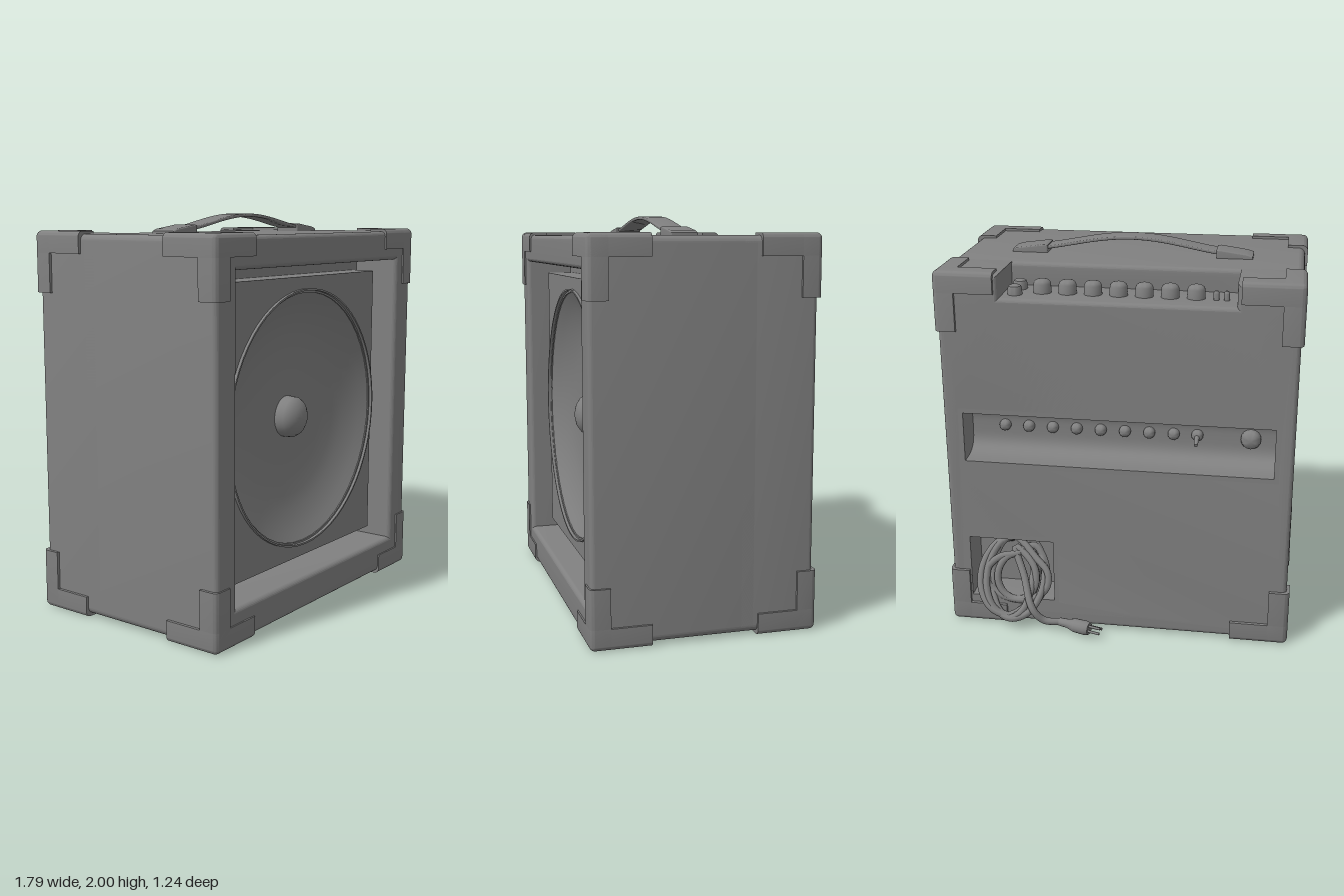
import * as THREE from 'three';
import { toCreasedNormals } from 'three/addons/utils/BufferGeometryUtils.js';

const V = (x, y, z) => new THREE.Vector3(x, y, z);
const P = (x, y) => new THREE.Vector2(x, y);

export function createModel() {
  const model = new THREE.Group();
  const mat = new THREE.MeshStandardMaterial({ color: 0x808080 });
  const matDouble = new THREE.MeshStandardMaterial({ color: 0x808080, side: THREE.DoubleSide });

  const add = (name, geo, x = 0, y = 0, z = 0, parent = model, m = mat) => {
    const mesh = new THREE.Mesh(geo, m);
    mesh.name = name;
    mesh.position.set(x, y, z);
    parent.add(mesh);
    return mesh;
  };
  const group = (name) => {
    const g = new THREE.Group();
    g.name = name;
    model.add(g);
    return g;
  };
  // rectangle outline or hole
  const rect = (x0, x1, y0, y1, Type = THREE.Shape) =>
    new Type([P(x0, y0), P(x1, y0), P(x1, y1), P(x0, y1)]);
  // extruded slab between two z values, with optional rounded edges
  const slab = (shape, z0, z1, b = 0) => toCreasedNormals(new THREE.ExtrudeGeometry(shape, {
    depth: z1 - z0 - 2 * b, bevelEnabled: b > 0, bevelSize: b, bevelThickness: b,
    bevelOffset: -b, bevelSegments: 6, curveSegments: 24,
  }).translate(0, 0, z0 + b), 0.2);
  // turned part: profile of [radius, height] pairs
  const turned = (pts, seg = 24) =>
    toCreasedNormals(new THREE.LatheGeometry(pts.map(([r, h]) => P(r, h)), seg), 0.7);

  // cabinet outline with rounded corners, optionally with the control notch in the top
  const W = 0.88, Y0 = 0.015, Y1 = 1.905, R = 0.035, panelY = 1.79;
  const outline = (notch) => {
    const s = new THREE.Shape();
    s.moveTo(-W + R, Y0);
    s.lineTo(W - R, Y0);
    s.absarc(W - R, Y0 + R, R, -Math.PI / 2, 0);
    s.lineTo(W, Y1 - R);
    s.absarc(W - R, Y1 - R, R, 0, Math.PI / 2);
    if (notch) [[0.57, Y1], [0.57, panelY], [-0.575, panelY], [-0.575, Y1]].forEach((p) => s.lineTo(...p));
    s.lineTo(-W + R, Y1);
    s.absarc(-W + R, Y1 - R, R, Math.PI / 2, Math.PI);
    s.lineTo(-W, Y0 + R);
    s.absarc(-W + R, Y0 + R, R, Math.PI, Math.PI * 1.5);
    return s;
  };
  const rearHoles = () => [
    rect(-0.785, 0.78, 0.93, 1.19, THREE.Path),
    rect(0.335, 0.78, 0.15, 0.495, THREE.Path),
  ];

  // cabinet
  const front = outline(false);
  front.holes.push(rect(-0.727, 0.722, 0.18, 1.752, THREE.Path));
  add('cabinetFront', slab(front, -0.21, 0.61, 0.025));
  const rear = outline(true);
  rear.holes.push(...rearHoles());
  add('cabinetRear', slab(rear, -0.49, -0.1, 0.025));
  const back = rect(-W + 0.03, W - 0.03, Y0 + 0.03, panelY - 0.03);
  back.holes.push(...rearHoles());
  add('backPanel', slab(back, -0.49, -0.46));

  // raised baffle board, with a gap around it and a floor behind
  add('frontRecessFloor', new THREE.BoxGeometry(1.48, 1.6, 0.03), 0, 0.965, 0.345);
  const cy = 0.965;
  const baffle = rect(-0.668, 0.663, 0.24, 1.69);
  baffle.holes.push(new THREE.Path().absarc(-0.003, cy, 0.645, 0, Math.PI * 2, true));
  add('baffle', slab(baffle, 0.35, 0.5));

  // speaker
  const speaker = group('speaker');
  speaker.position.set(-0.003, cy, 0.5);
  speaker.rotation.x = Math.PI / 2;
  add('speakerRim', turned([[0.652, -0.03], [0.655, 0.015], [0.664, 0.015], [0.665, -0.02]], 64),
    0, 0, 0, speaker, matDouble);
  add('speakerCone', turned([[0.08, -0.113], [0.2, -0.115], [0.32, -0.11], [0.42, -0.097], [0.49, -0.08],
    [0.55, -0.057], [0.6, -0.034], [0.655, 0]], 64), 0, 0, 0, speaker, matDouble);
  add('speakerDome', turned([[0.108, -0.12], [0.104, -0.065], [0.09, -0.042], [0.06, -0.021],
    [0.03, -0.012], [0, -0.01]], 32), 0, 0, 0, speaker, matDouble);

  // corner protectors: three bars meet at each corner, rounded on the outer edges only
  const corners = group('cornerProtectors');
  const round = 0.028, cuts = 5;
  const cornerBar = (size) => {
    const geo = new THREE.BoxGeometry(1, 1, 1, cuts + 1, cuts + 1, cuts + 1);
    const pos = geo.attributes.position;
    for (let i = 0; i < pos.count; i++) {
      const p = V().fromBufferAttribute(pos, i), core = V();
      for (const k of ['x', 'y', 'z']) {
        const step = Math.round((0.5 - p[k]) * (cuts + 1));
        p[k] = step > cuts ? -size[k] : -round * (1 - Math.tan((Math.PI / 4) * (1 - step / cuts)));
        core[k] = Math.min(p[k], -round);
      }
      const out = p.clone().sub(core);
      if (out.length() > 0) p.copy(core).addScaledVector(out.normalize(), round);
      pos.setXYZ(i, p.x, p.y, p.z);
    }
    return toCreasedNormals(geo, 0.5);
  };
  const bars = [V(0.3, 0.107, 0.1), V(0.105, 0.3, 0.1), V(0.105, 0.107, 0.3)].map(cornerBar);
  for (const sx of [-1, 1]) for (const sy of [-1, 1]) for (const sz of [-1, 1])
    for (const bar of bars)
      add('cornerBar', bar, sx > 0 ? 0.893 : -0.895, sy > 0 ? 1.918 : 0, sz > 0 ? 0.618 : -0.507, corners)
        .scale.set(sx, sy, sz);

  // carrying handle
  const handle = group('handle');
  const arc = (x) => 1.917 + 0.067 * Math.max(0, Math.cos(Math.PI * x)) ** 1.5;
  const strap = [];
  for (let i = 0; i <= 28; i++) strap.push(P(-0.5 + i / 28, arc(-0.5 + i / 28)));
  for (let i = 28; i >= 0; i--) strap.push(P(-0.5 + i / 28, arc(-0.5 + i / 28) + 0.016));
  add('handleStrap', slab(new THREE.Shape(strap), 0.022, 0.142, 0.006), 0, 0, 0, handle);
  for (const s of [-1, 1]) {
    const pts = [P(0.435, 1.88), P(0.62, 1.88), P(0.62, 1.918), P(0.59, 1.928), P(0.45, 1.947), P(0.435, 1.944)];
    const cap = new THREE.Shape(pts.map((p) => P(p.x * s, p.y)));
    add('handleEnd', slab(cap, 0.015, 0.15, 0.007), 0, 0, 0, handle);
  }

  // top controls
  const controls = group('topControls');
  const knob = turned([[0.045, 0], [0.043, 0.045], [0.038, 0.056], [0.028, 0.063], [0.014, 0.067], [0, 0.068]]);
  for (let i = 0; i < 7; i++) add('knob', knob, -0.37 + i * 0.126, panelY, -0.335, controls);
  const socket = turned([[0.036, 0], [0.035, 0.03], [0.03, 0.042], [0.018, 0.048], [0, 0.05]]);
  for (const z of [-0.392, -0.28]) add('inputSocket', socket, 0.51, panelY, z, controls);
  const pin = turned([[0.014, 0], [0.014, 0.035], [0.008, 0.045], [0, 0.047]], 12);
  for (const x of [-0.518, -0.468]) add('smallSwitch', pin, x, panelY, -0.355, controls);

  // rear connector recess: a trough with softly rounded inner corners
  const recess = group('rearRecess');
  const wall = new THREE.CylinderGeometry(1, 1, 1.6, 40, 1, true, -Math.PI / 2, Math.PI).rotateZ(Math.PI / 2);
  const wp = wall.attributes.position;
  for (let i = 0; i < wp.count; i++) {
    const soft = (v) => Math.sign(v) * Math.abs(v) ** 0.6;
    wp.setXYZ(i, wp.getX(i), 0.13 * soft(wp.getY(i)), 0.17 * soft(Math.max(0, wp.getZ(i))));
  }
  wall.computeVertexNormals();
  add('recessWall', wall, 0, 1.06, -0.489, recess, matDouble);
  const jack = turned([[0.03, -0.01], [0.03, 0.01], [0.026, 0.022], [0.016, 0.031], [0, 0.034]], 16);
  jack.rotateX(-Math.PI / 2);
  for (let i = 0; i < 8; i++) add('jack', jack, 0.605 - i * 0.125, 1.075, -0.322, recess);
  add('toggleBase', jack, -0.39, 1.075, -0.322, recess);
  const lever = add('toggleLever', new THREE.CylinderGeometry(0.009, 0.014, 0.07, 12), -0.39, 1.063, -0.375, recess);
  lever.rotation.x = -1.9;
  add('fuseHolder', jack, -0.66, 1.07, -0.322, recess).scale.set(1.7, 1.7, 1.4);

  // cord pocket and coiled power cord
  add('pocketWall', new THREE.BoxGeometry(0.5, 0.4, 0.03), 0.555, 0.32, -0.285);
  const cord = group('powerCord');
  const path = [V(0.6, 0.4, -0.29), V(0.62, 0.42, -0.34)];
  const turns = 6, steps = 10;
  for (let i = 0; i < turns * steps; i++) {
    const a = Math.PI / 2 - (i / steps) * Math.PI * 2;
    const k = Math.floor(i / steps);
    const x = 0.56 + 0.02 * Math.sin(k * 2.3) + (0.1 + 0.075 * Math.abs(Math.sin(k * 1.7 + 1))) * Math.cos(a);
    const y = 0.255 + (0.165 + 0.045 * Math.sin(k * 2.1 + 0.6)) * Math.sin(a);
    path.push(V(x, y, -0.55 + (y - 0.05) * 0.5 + 0.025 * Math.sin(i * 0.83)));
  }
  path.push(V(0.56, 0.4, -0.39), V(0.5, 0.27, -0.47), V(0.44, 0.13, -0.56), V(0.38, 0.06, -0.55), V(0.29, 0.05, -0.535));
  add('cordCoil', new THREE.TubeGeometry(new THREE.CatmullRomCurve3(path), 480, 0.019, 8), 0, 0, 0, cord);

  // plug
  const plug = new THREE.Group();
  plug.name = 'plug';
  plug.position.set(0.3, 0.05, -0.535);
  plug.quaternion.setFromUnitVectors(V(0, 1, 0), V(-0.96, 0, -0.27).normalize());
  cord.add(plug);
  add('plugBody', turned([[0, 0], [0.021, 0], [0.024, 0.05], [0.036, 0.09], [0.038, 0.15], [0.032, 0.175], [0, 0.175]], 16),
    0, 0, 0, plug);
  for (const [x, z] of [[0, 0.018], [0, -0.018], [0.018, 0]])
    add('prong', new THREE.CylinderGeometry(0.007, 0.007, 0.07, 8), x, 0.205, z, plug);

  return model;
}
